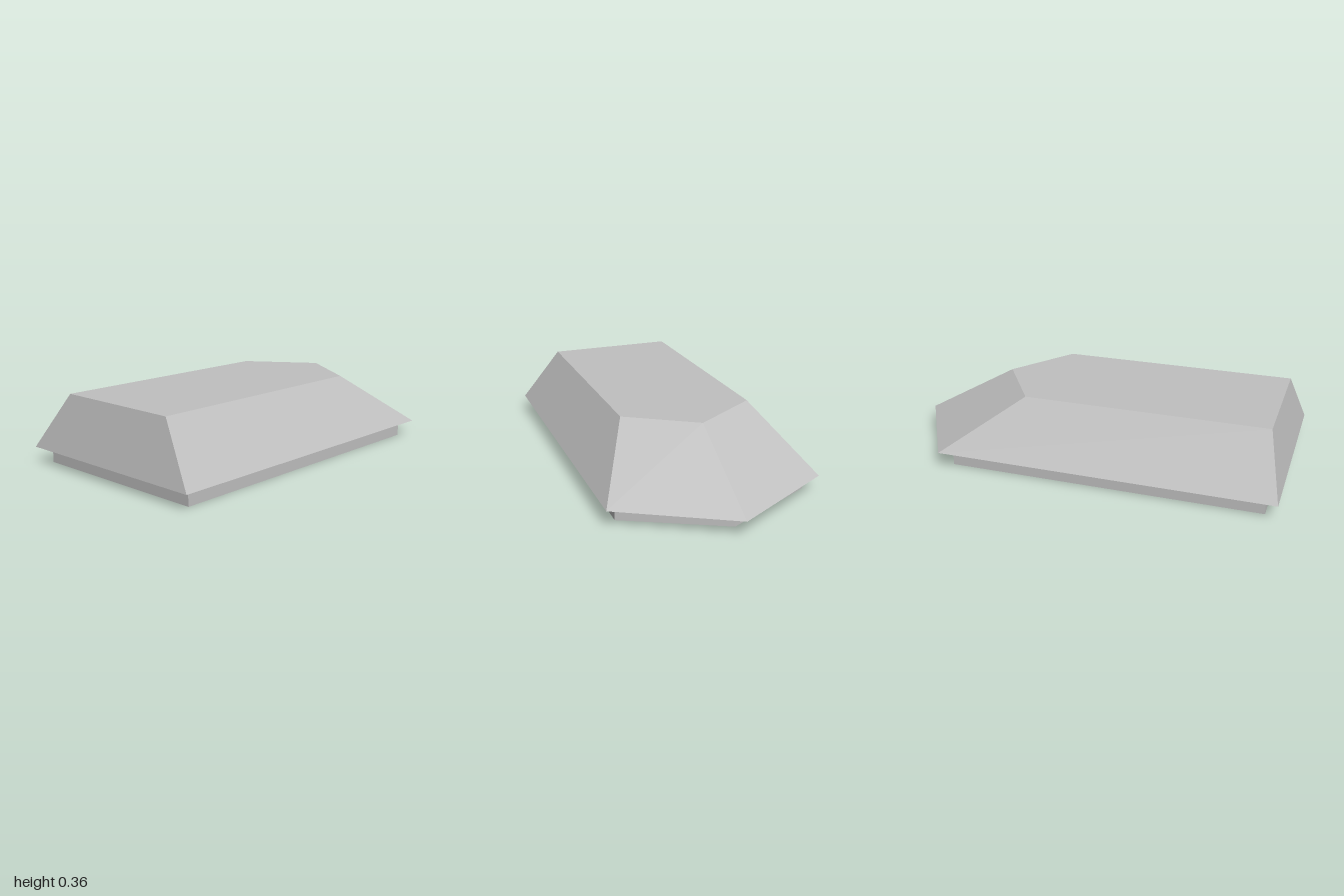
import * as THREE from 'three';

// Five-cornered outline at height y: square back end, pointed nose on +x
function outline(y, back, shoulder, nose, half) {
  return [
    [back, y, half], [shoulder, y, half], [nose, y, 0],
    [shoulder, y, -half], [back, y, -half],
  ];
}

// Flat-faced strip joining successive outlines
function bands(loops) {
  const pos = [];
  for (let k = 0; k < loops.length - 1; k++) {
    const a = loops[k], b = loops[k + 1];
    for (let i = 0; i < a.length; i++) {
      const j = (i + 1) % a.length;
      pos.push(...a[i], ...a[j], ...b[j], ...a[i], ...b[j], ...b[i]);
    }
  }
  return toGeometry(pos);
}

// Flat cap filling one outline, facing up or down
function cap(loop, up) {
  const pos = [];
  for (let i = 1; i < loop.length - 1; i++) {
    const [p, q] = up ? [loop[i], loop[i + 1]] : [loop[i + 1], loop[i]];
    pos.push(...loop[0], ...p, ...q);
  }
  return toGeometry(pos);
}

function toGeometry(pos) {
  const g = new THREE.BufferGeometry();
  g.setAttribute('position', new THREE.Float32BufferAttribute(pos, 3));
  g.computeVertexNormals();
  return g;
}

export function createModel() {
  const model = new THREE.Group();
  model.name = 'hollowRoof';
  const grey = new THREE.MeshStandardMaterial({ color: 0xc0c0c0, flatShading: true });
  grey.name = 'plain grey';

  const add = (name, geometry) => {
    const mesh = new THREE.Mesh(geometry, grey);
    mesh.name = name;
    model.add(mesh);
  };

  const top = outline(0.36, -0.925, 0.29, 0.51, 0.335);
  const eave = outline(0.08, -1, 0.69, 1, 0.535);
  const rimOuter = (y) => outline(y, -0.94, 0.635, 0.885, 0.48);
  const rimInner = (y) => outline(y, -0.907, 0.615, 0.848, 0.447);
  const ceiling = outline(0.355, -0.922, 0.29, 0.507, 0.333);

  // Outer shell
  add('roofSlopes', bands([eave, top]));
  add('roofTop', cap(top, true));
  add('eaveUnderside', bands([rimOuter(0.08), eave]));

  // Recessed base rim: inside wall, bottom edge, outside wall
  add('baseRim', bands([rimInner(0.08), rimInner(0), rimOuter(0), rimOuter(0.08)]));

  // Hollow interior
  add('innerSlopes', bands([ceiling, rimInner(0.08)]));
  add('innerCeiling', cap(ceiling, false));

  return model;
}
